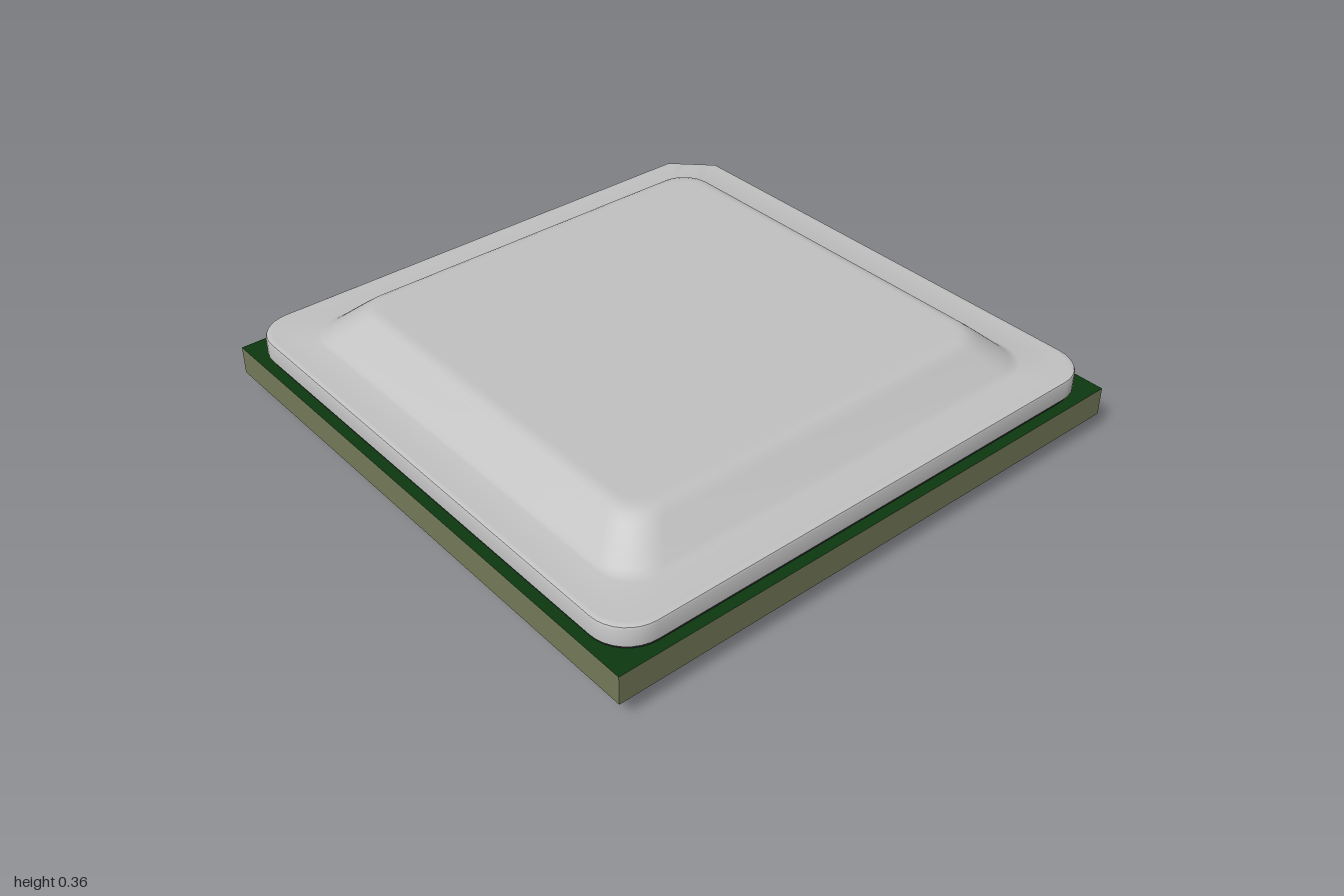
import * as THREE from 'three';
import { mergeGeometries, toCreasedNormals } from 'three/addons/utils/BufferGeometryUtils.js';

const STEPS = 8; // segments per corner

// Square outline with rounded corners; the back right corner can be cut straight.
function outline(half, radius, y, cut) {
  const points = [];
  const c = half - radius;
  [[1, 1], [-1, 1], [-1, -1], [1, -1]].forEach(([sx, sz], corner) => {
    for (let i = 0; i <= STEPS; i++) {
      const t = i / STEPS;
      const a = (corner + t) * Math.PI / 2;
      if (cut && corner === 2) {
        points.push([-half + radius * t, y, -c - radius * t].map((v, k) => (k === 0 ? -half + radius * t : v)));
      } else {
        points.push([sx * c + radius * Math.cos(a), y, sz * c + radius * Math.sin(a)]);
      }
    }
  });
  return points;
}

// Skin a stack of outlines, listed from bottom to top, and cap both ends.
function loft(rings) {
  const pos = [];
  const tri = (...p) => p.forEach((v) => pos.push(...v));
  const n = rings[0].length;
  const last = rings[rings.length - 1];
  const bottom = [0, rings[0][0][1], 0];
  const top = [0, last[0][1], 0];
  for (let j = 0; j < n; j++) {
    const k = (j + 1) % n;
    for (let r = 0; r < rings.length - 1; r++) {
      const lo = rings[r], hi = rings[r + 1];
      tri(lo[j], hi[j], lo[k]);
      tri(hi[j], hi[k], lo[k]);
    }
    tri(bottom, rings[0][j], rings[0][k]);
    tri(top, last[k], last[j]);
  }
  const geometry = new THREE.BufferGeometry();
  geometry.setAttribute('position', new THREE.Float32BufferAttribute(pos, 3));
  return toCreasedNormals(geometry, 0.6);
}

export function createModel() {
  const material = (name, color) => {
    const m = new THREE.MeshStandardMaterial({ color });
    m.name = name;
    return m;
  };
  const green = material('dark green solder mask', 0x0c3810);
  const olive = material('olive board edge', 0x757a5a);
  const metal = material('grey metal', 0xc2c2c2);
  const black = material('dark adhesive', 0x242424);

  const group = new THREE.Group();
  const add = (name, geometry, mat) => {
    const mesh = new THREE.Mesh(geometry, mat);
    mesh.name = name;
    group.add(mesh);
  };

  // Circuit board: green faces, bare edges
  const board = new THREE.BoxGeometry(2, 0.1, 2);
  board.translate(0, 0.12, 0);
  add('circuitBoard', board, [olive, olive, green, green, olive, olive]);

  // Adhesive seam under the lid
  add('adhesive', loft([
    outline(0.962, 0.13, 0.168, true),
    outline(0.962, 0.13, 0.188, true),
  ]), black);

  // Heat spreader: flange with a softened rim, sloped shoulder and flat plateau
  add('heatSpreader', loft([
    outline(0.97, 0.13, 0.185, true),
    outline(0.97, 0.13, 0.243, true),
    outline(0.967, 0.128, 0.25, true),
    outline(0.96, 0.124, 0.253, true),
    outline(0.95, 0.12, 0.253, true),
    outline(0.845, 0.13, 0.253),
    outline(0.835, 0.13, 0.256),
    outline(0.82, 0.128, 0.266),
    outline(0.74, 0.11, 0.338),
    outline(0.72, 0.105, 0.354),
    outline(0.705, 0.1, 0.361),
    outline(0.69, 0.095, 0.364),
    outline(0.675, 0.09, 0.364),
  ]), metal);

  // Grid of solder balls
  const count = 14, pitch = 0.1333, balls = [];
  for (let i = 0; i < count; i++) {
    for (let j = 0; j < count; j++) {
      const ball = new THREE.SphereGeometry(0.04, 16, 12);
      balls.push(ball.translate((i - (count - 1) / 2) * pitch, 0.04, (j - (count - 1) / 2) * pitch));
    }
  }
  add('solderBalls', mergeGeometries(balls), metal);

  return group;
}
